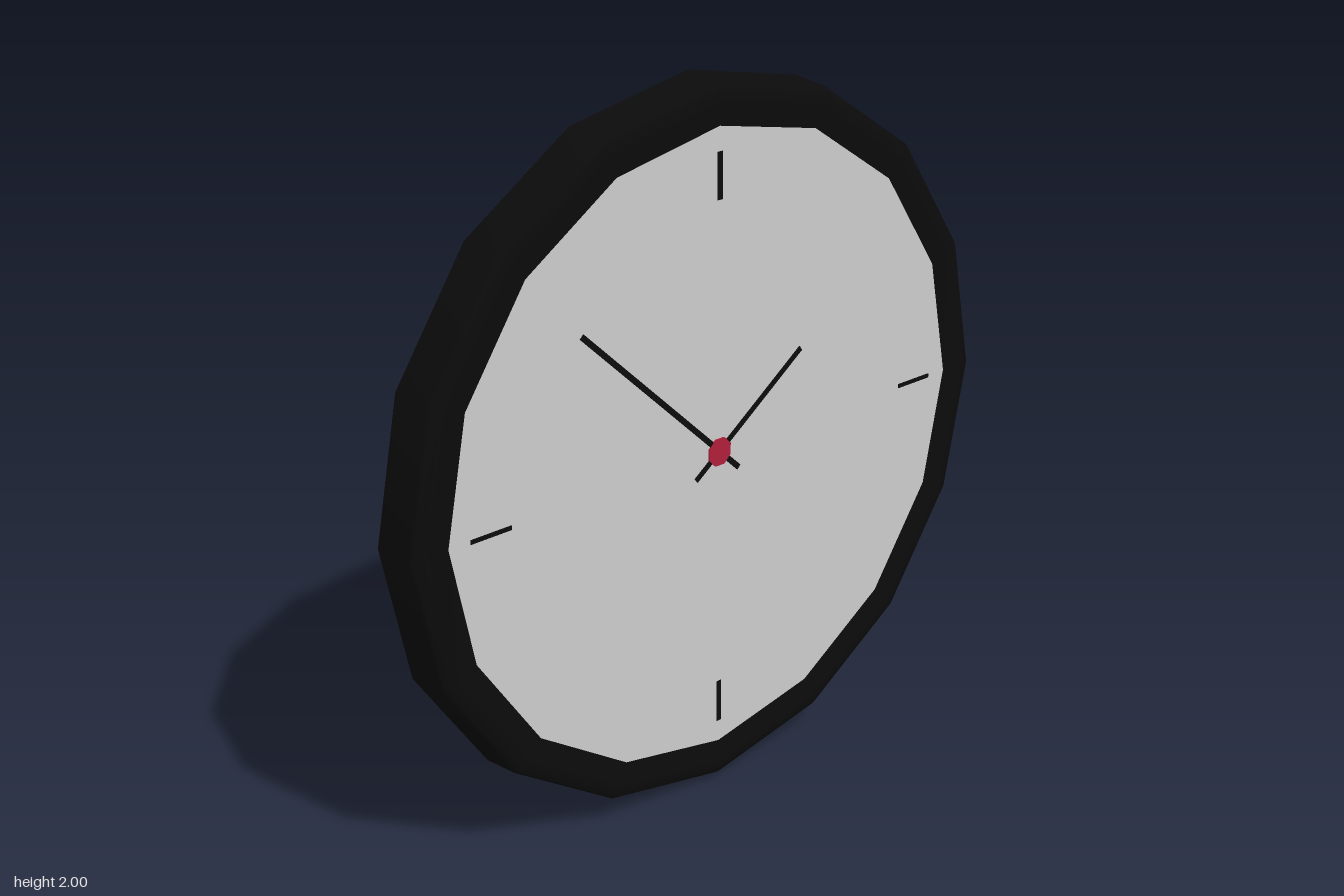
import * as THREE from 'three';

const black = new THREE.MeshStandardMaterial({ color: 0x0b0b0b, side: THREE.DoubleSide });
black.name = 'black';
const grey = new THREE.MeshStandardMaterial({ color: 0xcccccc, side: THREE.DoubleSide });
grey.name = 'light grey';
const red = new THREE.MeshStandardMaterial({ color: 0xb0203a });
red.name = 'red';

const SIDES = 16;
const FACE_Z = 0.057;

export function createModel() {
  const model = new THREE.Group();
  model.name = 'wallClock';
  const clock = new THREE.Group();
  clock.name = 'clock';
  clock.position.y = 1;
  model.add(clock);

  const add = (name, geometry, material) => {
    const mesh = new THREE.Mesh(geometry, material);
    mesh.name = name;
    clock.add(mesh);
    return mesh;
  };

  // Thin plate between two points, showing on both sides of the dial
  const plate = (name, x1, y1, x2, y2, width) => {
    const length = Math.hypot(x2 - x1, y2 - y1);
    const mesh = add(name, new THREE.BoxGeometry(length, width, 0.004), black);
    mesh.position.set((x1 + x2) / 2, (y1 + y2) / 2, FACE_Z);
    mesh.rotation.z = Math.atan2(y2 - y1, x2 - x1);
  };

  // Sixteen-sided frame shell, open at the back
  const profile = [
    [1, -0.063], [0.99, 0.045], [0.982, 0.056], [0.955, 0.063], [0.88, FACE_Z],
  ].map(([r, z]) => new THREE.Vector2(r, z));
  add('frame', new THREE.LatheGeometry(profile, SIDES).rotateX(Math.PI / 2), black);

  // Dial
  add('dial', new THREE.CircleGeometry(0.88, SIDES), grey).position.z = FACE_Z;

  // Quarter-hour marks
  for (const s of [1, -1]) {
    plate('hourMark', 0, s * 0.69, 0, s * 0.815, 0.016);
    plate('hourMark', s * 0.69, 0, s * 0.815, 0, 0.012);
  }

  // Hands with short tails
  plate('minuteHand', 0.07, -0.065, -0.457, 0.437, 0.016);
  plate('hourHand', -0.083, -0.06, 0.296, 0.217, 0.016);

  // Centre cap
  const cap = new THREE.CylinderGeometry(0.041, 0.041, 0.008, 8, 1, false, Math.PI / 8);
  add('centreCap', cap.rotateX(Math.PI / 2), red).position.z = FACE_Z;

  return model;
}
